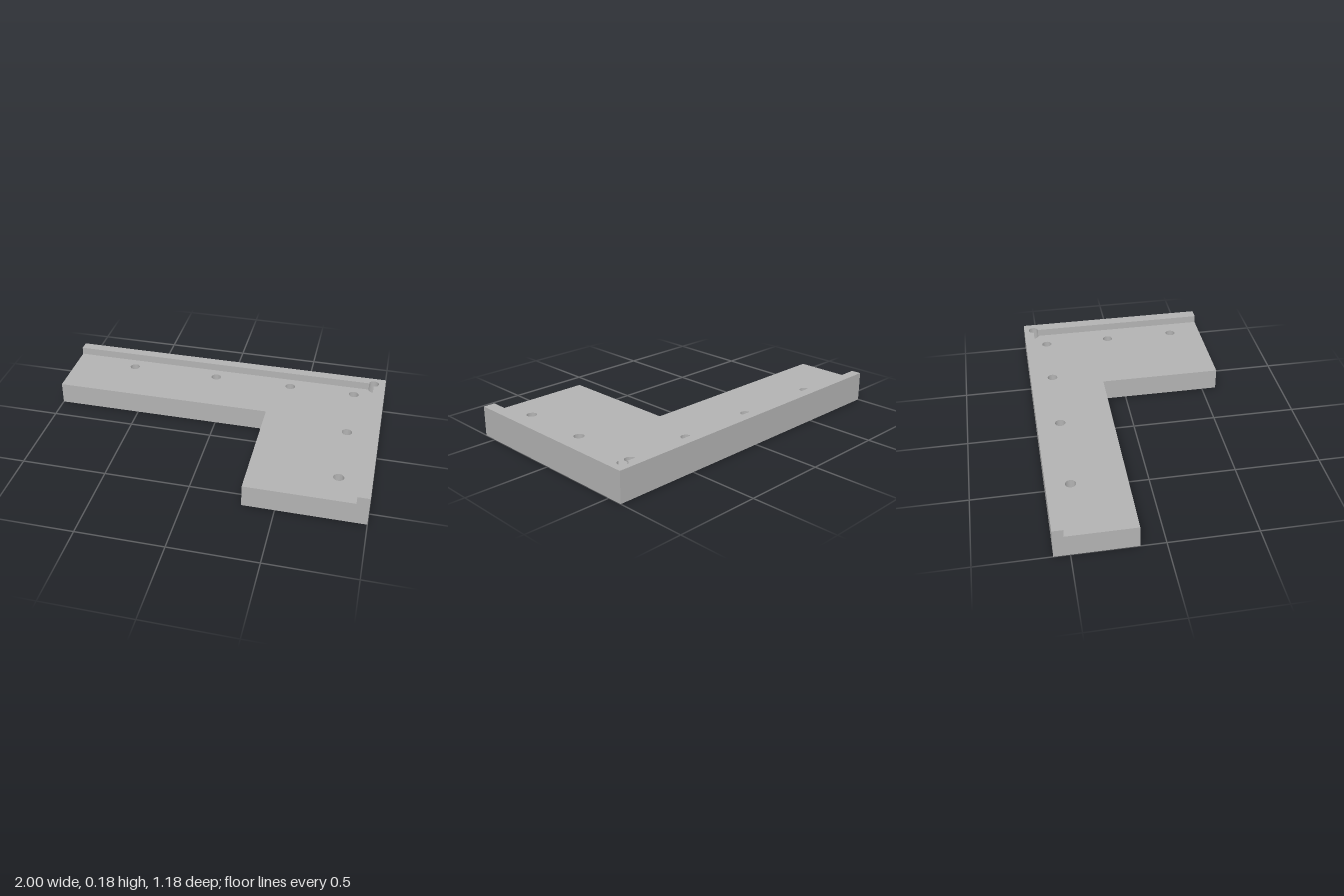
import * as THREE from 'three';
import { toCreasedNormals } from 'three/addons/utils/BufferGeometryUtils.js';

const END_Z = 0.588;      // half depth
const FLOOR = 0.132;      // height of the recessed floor
const TOP = 0.178;        // height of the rim
const RIM_X = 0.93, RIM_Z = -0.528; // inner edges of the rim
const HOLE_R = 0.03;
const HOLES = [
  [-0.61, -0.45], [-0.065, -0.45], [0.415, -0.45], [0.815, -0.45],
  [0.815, -0.04], [0.815, 0.39], [RIM_X, RIM_Z],
];

// Raises a plan shape (drawn with y = -z) from one height to another
function raise(shape, from, to) {
  const geometry = new THREE.ExtrudeGeometry(shape, {
    depth: to - from, bevelEnabled: false, curveSegments: 32,
  });
  geometry.rotateX(-Math.PI / 2).translate(0, from, 0);
  return toCreasedNormals(geometry, 0.6);
}

export function createModel() {
  const group = new THREE.Group();
  group.name = 'cornerBracket';
  const grey = new THREE.MeshStandardMaterial({ color: 0xb2b2b2 });
  grey.name = 'grey';

  // L-shaped plate with through holes
  const plan = new THREE.Shape([
    [-1, -END_Z], [-1, -0.14], [0.315, -0.14],
    [0.315, END_Z], [1, END_Z], [1, -END_Z],
  ].map(([x, z]) => new THREE.Vector2(x, -z)));
  for (const [x, z] of HOLES) {
    plan.holes.push(new THREE.Path().absarc(x, -z, HOLE_R, 0, Math.PI * 2, true));
  }
  const plate = new THREE.Mesh(raise(plan, 0, FLOOR), grey);
  plate.name = 'plate';

  // Raised rim along the two outer edges, relieved by the corner hole
  const edge = new THREE.Shape();
  edge.moveTo(-1, END_Z);
  edge.lineTo(-1, -RIM_Z);
  edge.lineTo(RIM_X - HOLE_R, -RIM_Z);
  edge.absarc(RIM_X, -RIM_Z, HOLE_R, Math.PI, -Math.PI / 2, true);
  edge.lineTo(RIM_X, -END_Z);
  edge.lineTo(1, -END_Z);
  edge.lineTo(1, END_Z);
  edge.closePath();
  const rim = new THREE.Mesh(raise(edge, FLOOR, TOP), grey);
  rim.name = 'rim';

  group.add(plate, rim);
  return group;
}
